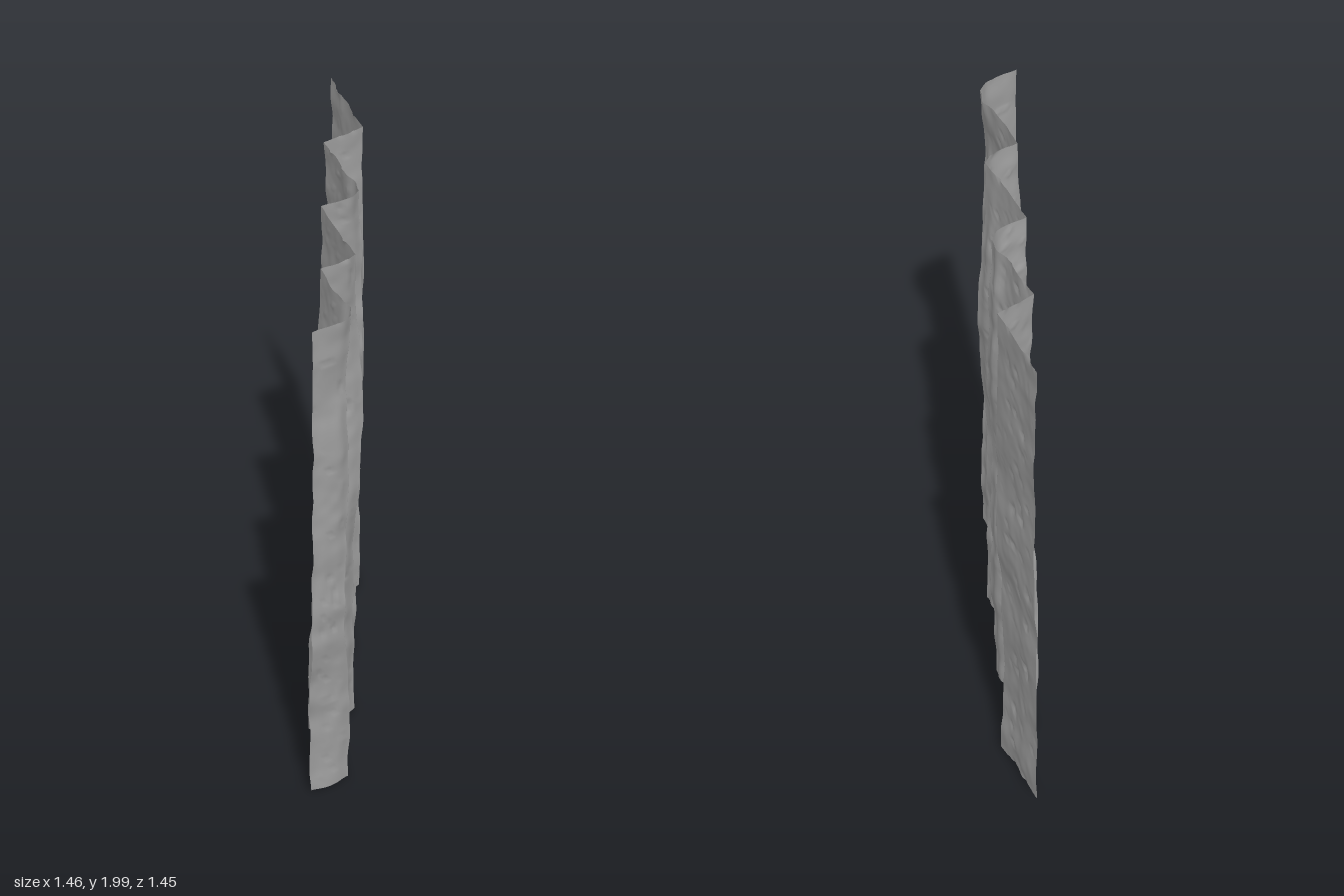
import * as THREE from 'three';

// Fold lines from left to right: x and z sampled evenly from bottom to top
const FOLDS = [
  { x: [-.72, -.73, -.72, -.71, -.715, -.72, -.74], z: [-.715, -.715, -.715, -.71, -.715, -.72, -.725] },
  { x: [-.385, -.395, -.39, -.355, -.345, -.36, -.365], z: [-.55, -.545, -.545, -.54, -.53, -.54, -.55] },
  { x: [-.39, -.405, -.40, -.365, -.35, -.37, -.375], z: [-.36, -.36, -.365, -.36, -.36, -.365, -.36] },
  { x: [-.025, -.01, -.025, -.015, .008, -.015, -.005], z: [-.19, -.19, -.21, -.20, -.195, -.21, -.195] },
  { x: [-.03, -.015, -.032, -.02, .003, -.02, -.01], z: [-.005, 0, -.005, 0, .005, -.005, 0] },
  { x: [.33, .33, .36, .385, .365, .345, .35], z: [.145, .15, .18, .175, .135, .14, .165] },
  { x: [.325, .33, .36, .392, .36, .345, .35], z: [.38, .38, .38, .39, .37, .35, .345] },
  { x: [.695, .695, .715, .705, .70, .69, .695], z: [.52, .51, .55, .54, .525, .525, .505] },
  { x: [.69, .69, .71, .705, .70, .69, .695], z: [.71, .715, .725, .71, .705, .70, .70] },
];
const ROWS = 150, TREAD_STEPS = 30, RISER_STEPS = 18;

// Smooth repeatable value noise in 0..1
function hash(i, j, s) {
  const h = Math.sin(i * 127.1 + j * 311.7 + s * 74.7) * 43758.5453;
  return h - Math.floor(h);
}
function noise(a, b, s) {
  const i = Math.floor(a), j = Math.floor(b);
  const f = (t) => t * t * (3 - 2 * t), u = f(a - i), v = f(b - j);
  const lerp = THREE.MathUtils.lerp;
  return lerp(lerp(hash(i, j, s), hash(i + 1, j, s), u),
    lerp(hash(i, j + 1, s), hash(i + 1, j + 1, s), u), v);
}

// Point of a fold line, with a little roughness along its length
function foldCurve({ x, z }, seed) {
  const curve = new THREE.CatmullRomCurve3(x.map((vx, i) => new THREE.Vector3(vx, i / 3, z[i])));
  return (v) => {
    const p = curve.getPoint(v);
    p.x += (noise(v * 26, 0, seed) - 0.5) * 0.01;
    p.z += (noise(v * 22, 5, seed) - 0.5) * 0.012;
    return p;
  };
}

// Offset of the surface from the flat panel; negative is outward on +x
function relief(index, u, s, y) {
  let d = (noise(s * 8, y * 4, index) - 0.5) * 0.01 + (noise(s * 26, y * 22, index + 20) - 0.5) * 0.004;
  // scattered pimples
  d += Math.max(0, noise(s * 36, y * 32, index + 40) - 0.82) * 0.05;
  if (index % 2) {
    // risers swell outward, most near the ridge
    d -= 0.03 * Math.sin(Math.PI * u ** 0.65) * noise(0, y * 3.5, index + 60);
  } else if (index > 0) {
    // uneven swelling behind the ridge
    d -= 0.024 * Math.exp(-(((u - 0.84) / 0.09) ** 2)) * noise(0, y * 6, index + 60);
  }
  return d * Math.min(1, 5 * u * (1 - u));
}

// One horizontal line across the whole sheet, treads and risers in turn
function crossSection(folds, v) {
  const points = [];
  const corners = folds.map((fold) => fold(v));
  for (let k = 0; k < corners.length - 1; k++) {
    const a = corners[k], b = corners[k + 1];
    const dx = b.x - a.x, dz = b.z - a.z, len = Math.hypot(dx, dz);
    const steps = k % 2 ? RISER_STEPS : TREAD_STEPS;
    for (let i = k ? 1 : 0; i <= steps; i++) {
      // closer spacing toward the folds
      const u = 0.5 - 0.5 * Math.cos(Math.PI * i / steps);
      const d = relief(k, u, u * len, v * 2);
      const x = a.x + dx * u - (dz / len) * d, z = a.z + dz * u + (dx / len) * d;
      // ragged bottom and top edges
      const bottom = 0.008 + noise((x + z) * 12, 0, 3) * 0.012;
      const top = 1.99 + noise((x + z) * 12, 0, 4) * 0.01;
      points.push(x, THREE.MathUtils.lerp(bottom, top, v), z);
    }
  }
  return points;
}

function sheetGeometry() {
  const folds = FOLDS.map(foldCurve);
  const positions = [], indices = [];
  let columns = 0;
  for (let j = 0; j <= ROWS; j++) {
    const row = crossSection(folds, j / ROWS);
    columns = row.length / 3;
    positions.push(...row);
  }
  for (let j = 0; j < ROWS; j++) {
    for (let i = 0; i < columns - 1; i++) {
      const k = j * columns + i, up = k + columns;
      indices.push(k, k + 1, up + 1, k, up + 1, up);
    }
  }
  const geometry = new THREE.BufferGeometry();
  geometry.setAttribute('position', new THREE.Float32BufferAttribute(positions, 3));
  geometry.setIndex(indices);
  geometry.computeVertexNormals();
  return geometry;
}

export function createModel() {
  const group = new THREE.Group();
  group.name = 'foldedWall';
  const material = new THREE.MeshStandardMaterial({ color: 0x9f9f9f, side: THREE.DoubleSide });
  const sheet = new THREE.Mesh(sheetGeometry(), material);
  sheet.name = 'foldedSheet';
  group.add(sheet);
  return group;
}
